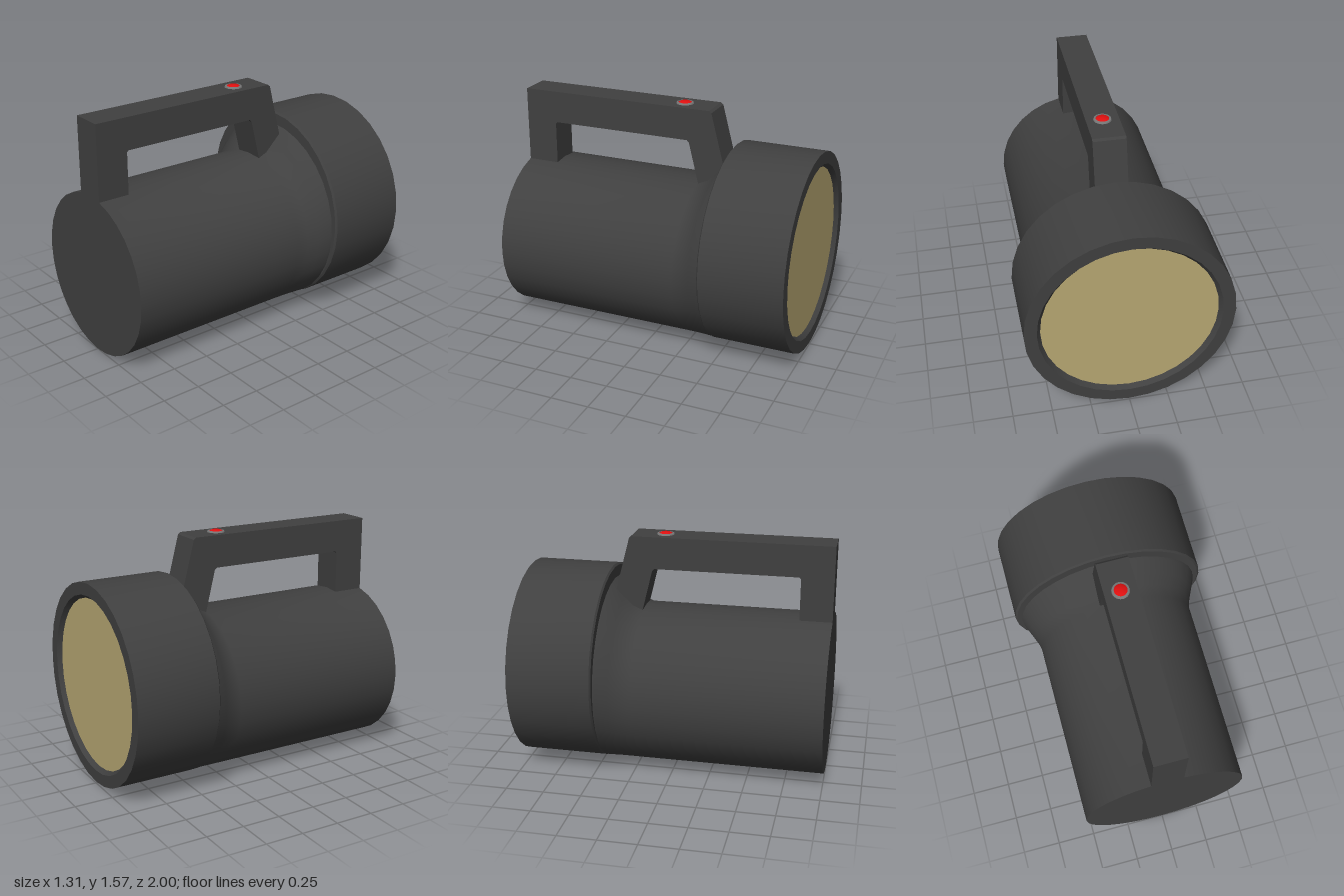
import * as THREE from 'three';
import { toCreasedNormals } from 'three/addons/utils/BufferGeometryUtils.js';

const SIDES = 32;
const mat = (color) => new THREE.MeshStandardMaterial({ color });

// Round shell through rings of [z, radius, centre height]
function loft(rings) {
  const pos = [], idx = [];
  rings.forEach(([z, r, cy], i) => {
    for (let j = 0; j <= SIDES; j++) {
      const a = (j / SIDES) * Math.PI * 2;
      pos.push(r * Math.cos(a), cy + r * Math.sin(a), z);
      if (i < rings.length - 1 && j < SIDES) {
        const p = i * (SIDES + 1) + j, q = p + SIDES + 1;
        idx.push(p, p + 1, q, p + 1, q + 1, q);
      }
    }
  });
  const geo = new THREE.BufferGeometry();
  geo.setAttribute('position', new THREE.Float32BufferAttribute(pos, 3));
  geo.setIndex(idx);
  return toCreasedNormals(geo, 0.6);
}

export function createModel() {
  const group = new THREE.Group();
  const dark = mat(0x404040);
  const add = (name, geo, material, x = 0, y = 0, z = 0) => {
    const mesh = new THREE.Mesh(geo, material);
    mesh.name = name;
    mesh.position.set(x, y, z);
    group.add(mesh);
    return mesh;
  };

  // Barrel, flaring upward and outward into the lamp head
  add('body', loft([
    [-0.45, 0.615, 0.622], [-0.43, 0.608, 0.615], [-0.36, 0.575, 0.58],
    [-0.3, 0.547, 0.549], [-0.23, 0.533, 0.533], [1, 0.533, 0.533],
  ]), dark);
  add('endCap', new THREE.CircleGeometry(0.533, SIDES), dark, 0, 0.533, 1);

  // Lamp head with a bevelled rim around the recessed lens
  const headY = 0.665;
  add('lampHead', loft([
    [-0.97, 0.55, headY], [-1, 0.575, headY], [-1, 0.655, headY],
    [-0.455, 0.655, headY], [-0.445, 0.642, headY], [-0.445, 0.5, headY],
  ]), dark);
  add('lens', new THREE.CircleGeometry(0.552, SIDES), mat(0xb8a873), 0, headY, -0.972)
    .rotation.y = Math.PI;

  // Handle: side profile in (z, y), extruded across x
  const profile = [
    [1, 1.0], [1, 1.55], [-0.305, 1.55], [-0.32, 1.537], [-0.41, 1.19], [-0.41, 1.02],
    [-0.245, 1.02], [-0.17, 1.325], [-0.155, 1.34], [0.78, 1.34], [0.79, 1.33], [0.79, 1.0],
  ];
  const shape = new THREE.Shape(profile.map(([z, y]) => new THREE.Vector2(-z, y)));
  const handle = new THREE.ExtrudeGeometry(shape, { depth: 0.21, bevelEnabled: false });
  handle.translate(0, 0, -0.105).rotateY(Math.PI / 2);
  add('handle', handle, dark);

  // Push button in its collar on top of the handle
  const ring = [[0.058, 0], [0.054, 0.008], [0.042, 0.01], [0.042, 0]];
  const dome = [[0.042, 0], [0.042, 0.008], [0.03, 0.014], [0, 0.017]];
  const lathe = (pts) => toCreasedNormals(
    new THREE.LatheGeometry(pts.map(([r, y]) => new THREE.Vector2(r, y)), 24), 0.6);
  add('buttonCollar', lathe(ring), mat(0x777777), 0, 1.549, -0.1);
  add('button', lathe(dome), mat(0xe01010), 0, 1.549, -0.1);

  return group;
}
